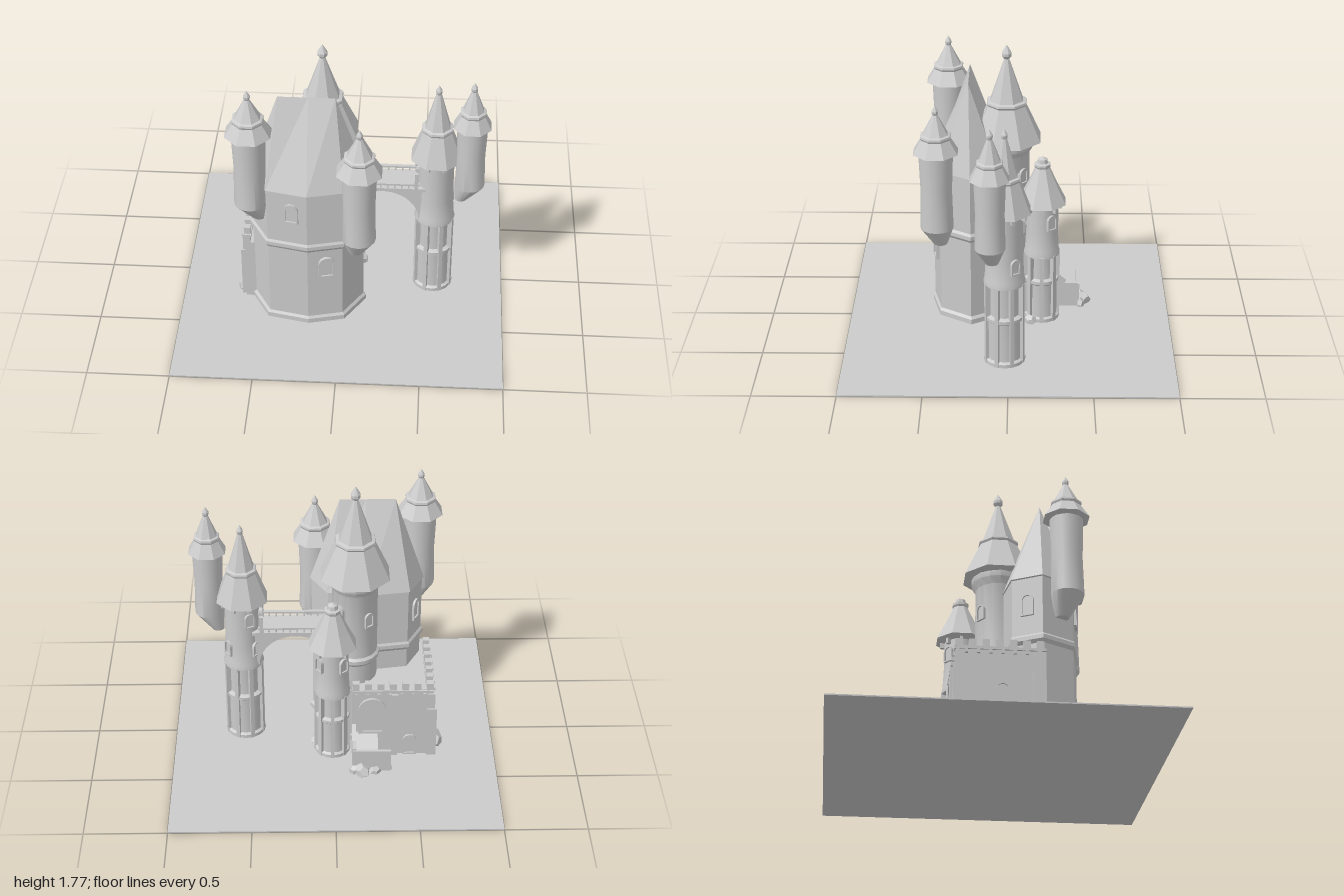
import * as THREE from 'three';
import { toCreasedNormals } from 'three/addons/utils/BufferGeometryUtils.js';

const stone = new THREE.MeshStandardMaterial({ color: 0xcccccc, side: THREE.DoubleSide });
const faceted = new THREE.MeshStandardMaterial({ color: 0xcccccc, flatShading: true, side: THREE.DoubleSide });

export function createModel() {
  const castle = new THREE.Group();
  castle.name = 'castle';

  function add(name, geometry, x = 0, y = 0, z = 0, turn = 0, material = faceted, parent = castle) {
    const mesh = new THREE.Mesh(geometry, material);
    mesh.name = name;
    mesh.position.set(x, y, z);
    mesh.rotation.y = turn;
    parent.add(mesh);
    return mesh;
  }
  const box = (name, w, h, d, x, y, z, turn = 0) => add(name, new THREE.BoxGeometry(w, h, d), x, y + h / 2, z, turn);
  const lathe = (profile, sides) => new THREE.LatheGeometry(profile.map(([r, y]) => new THREE.Vector2(r, y)), sides);
  const shaft = (name, profile, x, z) => add(name, toCreasedNormals(lathe(profile, 16), 0.6), x, 0, z, 0, stone);

  // Two-tier octagonal roof with a rim and a pointed finial
  function roof(x, z, eaveY, eaveR, ringY, ringR, tipY, topY) {
    const f = (topY - tipY) * 0.4;
    add('towerRoof', lathe([
      [0, eaveY - 0.012], [eaveR * 0.7, eaveY - 0.012], [eaveR, eaveY], [ringR * 1.06, ringY - 0.012],
      [ringR * 1.13, ringY], [ringR * 1.1, ringY + 0.012], [ringR * 0.92, ringY + 0.018], [0.016, tipY],
      [f * 0.85, tipY + f * 0.5], [f * 0.85, tipY + f], [0, topY]], 8), x, 0, z, Math.PI / 8);
  }

  // Arched opening: frame with a recessed pane, standing on (x, y, z)
  function archShape(w, h) {
    const s = new THREE.Shape();
    s.moveTo(-w / 2, 0);
    s.lineTo(w / 2, 0);
    s.lineTo(w / 2, h - w / 2);
    s.absarc(0, h - w / 2, w / 2, 0, Math.PI, false);
    s.closePath();
    return s;
  }
  function archedOpening(name, w, h, x, y, z, turn) {
    const group = new THREE.Group();
    group.name = name;
    group.position.set(x, y, z);
    group.rotation.y = turn;
    const t = w * 0.13;
    const frame = archShape(w, h);
    frame.holes.push(new THREE.Path(archShape(w - 2 * t, h - 2 * t).getPoints(6).map(p => p.add(new THREE.Vector2(0, t)))));
    add('frame', new THREE.ExtrudeGeometry(frame, { depth: 0.024, bevelEnabled: false, curveSegments: 6 }), 0, 0, -0.012, 0, faceted, group);
    add('pane', new THREE.ExtrudeGeometry(archShape(w - t, h - t), { depth: 0.012, bevelEnabled: false, curveSegments: 6 }), 0, t / 2, -0.01, 0, faceted, group);
    castle.add(group);
  }
  const towerWindow = (cx, cz, r, y, turn, w = 0.065, h = 0.1) =>
    archedOpening('towerWindow', w, h, cx + r * Math.sin(turn), y, cz + r * Math.cos(turn), turn);

  // Surface through matching closed outlines, lowest first
  function loft(rows) {
    const n = rows[0].length, index = [];
    for (let j = 0; j < rows.length - 1; j++) for (let i = 0; i < n; i++) {
      const a = j * n + i, b = j * n + (i + 1) % n;
      index.push(a, b, b + n, a, b + n, a + n);
    }
    const geometry = new THREE.BufferGeometry();
    geometry.setAttribute('position', new THREE.Float32BufferAttribute(rows.flat(2), 3));
    geometry.setIndex(index);
    const flat = geometry.toNonIndexed();
    flat.computeVertexNormals();
    return flat;
  }

  box('ground', 2, 0.008, 2, 0, 0, 0);

  // Keep: eight-sided body with plinth, string course and ridged roof
  const outline = [[-0.55, 0.24], [-0.44, 0.43], [-0.2, 0.48], [0.01, 0.43], [0.13, 0.24], [0.03, 0.07], [-0.2, 0.03], [-0.46, 0.07]];
  const ring = (y, s = 1) => outline.map(([x, z]) => [-0.21 + (x + 0.21) * s, y, 0.25 + (z - 0.25) * s]);
  add('keepWalls', loft([ring(0, 1.05), ring(0.04, 1.05), ring(0.055), ring(0.57), ring(0.59, 1.05),
    ring(0.615, 1.05), ring(0.63, 1.01), ring(1.0, 1.01)]));
  add('keepRoof', loft([ring(0.995, 1.0), ring(1.0, 1.04),
    outline.map(([x]) => [Math.min(-0.04, Math.max(-0.38, x)), 1.55, 0.25])]));
  archedOpening('keepWindow', 0.09, 0.14, -0.295, 0.785, 0.464, -0.2);
  archedOpening('keepWindow', 0.1, 0.15, -0.085, 0.37, 0.46, 0.23);
  archedOpening('keepWindow', 0.08, 0.14, -0.51, 0.75, 0.155, -2.05);

  // Hanging turrets, their feet leaning toward the wall that carries them
  function turret(x, z, r, footY, baseY, eaveY, roofR, ringY, tipY, topY, leanX, leanZ) {
    const mid = (baseY + eaveY) / 2;
    const geometry = lathe([[0, footY], [r * 0.42, footY], [r, baseY], [r * 0.94, mid], [r * 1.02, eaveY - 0.03], [r * 1.02, eaveY]], 16);
    const p = geometry.attributes.position;
    for (let i = 0; i < p.count; i++) if (p.getY(i) < footY + 0.01) {
      p.setX(i, p.getX(i) + leanX);
      p.setZ(i, p.getZ(i) + leanZ);
    }
    add('turretBody', toCreasedNormals(geometry, 0.5), x, 0, z, 0, stone);
    roof(x, z, eaveY, roofR, ringY, roofR * 0.6, tipY, topY);
  }
  turret(-0.54, 0.39, 0.1, 0.75, 0.88, 1.385, 0.145, 1.48, 1.62, 1.68, 0.045, -0.03);
  turret(0.11, 0.445, 0.102, 0.55, 0.67, 1.17, 0.145, 1.27, 1.41, 1.47, -0.02, -0.02);
  turret(0.765, 0.105, 0.09, 0.73, 0.85, 1.285, 0.12, 1.38, 1.53, 1.59, -0.05, -0.01);

  // Great tower behind the keep
  shaft('greatTower', [[0.15, 0], [0.15, 0.04], [0.14, 0.05], [0.14, 0.57], [0.155, 0.59], [0.155, 0.615],
    [0.14, 0.63], [0.14, 1.08], [0.165, 1.12], [0.165, 1.17]], -0.13, 0.02);
  roof(-0.13, 0.02, 1.165, 0.225, 1.4, 0.115, 1.68, 1.77);
  towerWindow(-0.13, 0.02, 0.138, 0.85, -2.5);
  towerWindow(-0.13, 0.02, 0.138, 0.9, 2.4);

  // Slim towers: stepped base, ribbed middle and plain upper shaft
  function slimTower(x, z, r, ledgeY, shelfY, topY, turn) {
    shaft('slimTower', [[r * 1.06, 0], [r * 1.06, 0.03], [r * 0.92, 0.04], [r * 0.92, ledgeY - 0.02], [r * 1.02, ledgeY - 0.01],
      [r * 1.02, ledgeY + 0.01], [r * 0.8, ledgeY + 0.02], [r * 0.8, shelfY - 0.02], [r * 1.05, shelfY - 0.01],
      [r * 1.05, shelfY + 0.01], [r, shelfY + 0.03], [r * 0.93, shelfY + 0.16], [r * 0.93, topY]], x, z);
    for (let i = 0; i < 8; i++) {
      const a = turn + i * Math.PI / 4, sx = Math.sin(a), cz = Math.cos(a);
      box('towerRib', 0.024, shelfY, 0.03, x + sx * r * 0.93, 0, z + cz * r * 0.93, a);
      box('eaveBracket', 0.018, 0.035, 0.035, x + sx * r, topY - 0.035, z + cz * r, a);
    }
  }
  slimTower(0.56, 0.025, 0.118, 0.31, 0.54, 0.99, Math.PI / 8);
  roof(0.56, 0.025, 0.995, 0.165, 1.2, 0.088, 1.45, 1.51);
  towerWindow(0.56, 0.025, 0.109, 0.62, -2.3);
  towerWindow(0.56, 0.025, 0.109, 0.84, -2.7);
  towerWindow(0.56, 0.025, 0.109, 0.62, 2.2);
  archedOpening('bridgeDoor', 0.09, 0.15, 0.45, 0.8, 0.02, -Math.PI / 2);

  slimTower(0.01, -0.2, 0.105, 0.28, 0.46, 0.79, 0);
  add('smallTowerRoof', lathe([[0, 0.785], [0.11, 0.785], [0.155, 0.8], [0.105, 0.9], [0.045, 1.03], [0.052, 1.04],
    [0.052, 1.055], [0.035, 1.06], [0.03, 1.085], [0, 1.1]], 8), 0.01, 0, -0.2, Math.PI / 8);
  towerWindow(0.01, -0.2, 0.098, 0.64, -2.4);
  towerWindow(0.01, -0.2, 0.098, 0.64, 2.2);

  // Bridge with an elliptical arch, railings and gate posts
  const span = new THREE.Shape();
  span.moveTo(-0.03, 0.55);
  span.lineTo(0.01, 0.55);
  span.absellipse(0.235, 0.55, 0.225, 0.21, Math.PI, 0, true);
  span.lineTo(0.5, 0.55);
  span.lineTo(0.5, 0.79);
  span.lineTo(-0.03, 0.79);
  add('bridgeArch', new THREE.ExtrudeGeometry(span, { depth: 0.15, bevelEnabled: false, curveSegments: 20 }), 0, 0, -0.055);
  box('bridgeDeck', 0.53, 0.022, 0.2, 0.235, 0.78, 0.02);
  for (const z of [-0.07, 0.11]) {
    box('bridgeRail', 0.47, 0.012, 0.022, 0.23, 0.826, z);
    for (let i = 0; i < 11; i++) box('bridgeBaluster', 0.009, 0.03, 0.01, 0.01 + i * 0.043, 0.8, z);
    box('bridgePost', 0.022, 0.12, 0.024, 0.443, 0.795, z);
  }

  // Walled yard with battlements, corner posts and buttresses
  box('yardFloor', 0.46, 0.44, 0.5, -0.365, 0, 0.0);
  box('yardBackWall', 0.5, 0.5, 0.035, -0.36, 0, -0.25);
  box('yardSideWall', 0.035, 0.5, 0.5, -0.59, 0, 0.0);
  box('backWallCoping', 0.5, 0.018, 0.05, -0.36, 0.48, -0.252);
  box('sideWallCoping', 0.05, 0.018, 0.5, -0.592, 0.48, 0);
  for (let i = 0; i < 7; i++) {
    box('merlon', 0.042, 0.05, 0.04, -0.59 + i * 0.076, 0.495, -0.25);
    box('merlon', 0.04, 0.05, 0.042, -0.59, 0.495, -0.25 + i * 0.078);
    box('wallBracket', 0.018, 0.025, 0.02, -0.555 + i * 0.07, 0.455, -0.275);
    box('wallBracket', 0.02, 0.025, 0.018, -0.615, 0.455, -0.21 + i * 0.07);
  }
  for (const [x, z] of [[-0.6, -0.255], [-0.6, 0.2], [-0.37, -0.265]]) {
    box('wallPost', 0.045, 0.47, 0.04, x, 0, z);
    if (x < -0.5) box('buttress', 0.06, 0.36, 0.06, x - 0.005, 0, z);
  }
  archedOpening('gate', 0.17, 0.27, -0.235, 0.17, -0.272, Math.PI);
  archedOpening('yardDoor', 0.085, 0.15, -0.47, 0.01, -0.27, Math.PI);
  archedOpening('yardDoor', 0.08, 0.14, -0.61, 0.14, 0.0, -Math.PI / 2);

  // Gate ramp with a parapet, landing and steps
  const side = (name, points, width, x) => {
    const shape = new THREE.Shape(points.map(([z, y]) => new THREE.Vector2(z, y)));
    add(name, new THREE.ExtrudeGeometry(shape, { depth: width, bevelEnabled: false }), x, 0, 0, -Math.PI / 2);
  };
  side('rampParapet', [[-0.25, 0], [-0.25, 0.26], [-0.28, 0.23], [-0.35, 0.17], [-0.43, 0.17], [-0.435, 0.08], [-0.44, 0]], 0.025, -0.11);
  side('ramp', [[-0.25, 0], [-0.25, 0.18], [-0.28, 0.18], [-0.36, 0.11], [-0.43, 0.11], [-0.43, 0]], 0.15, -0.12);
  box('landingParapet', 0.235, 0.16, 0.018, -0.23, 0, -0.433);
  for (let i = 0; i < 3; i++) box('step', 0.03, 0.1 - i * 0.03, 0.085, -0.28 - i * 0.03, 0, -0.39);

  // Boulders around the foot of the walls
  for (const [x, z, r, h] of [[-0.64, -0.16, 0.055, 0.1], [-0.645, -0.08, 0.04, 0.06], [-0.63, 0.17, 0.045, 0.08],
    [-0.17, -0.46, 0.06, 0.075], [-0.25, -0.45, 0.04, 0.05], [0.11, -0.13, 0.045, 0.06], [0.07, -0.09, 0.04, 0.05], [-0.12, -0.45, 0.035, 0.06]]) {
    add('boulder', new THREE.DodecahedronGeometry(1), x, h * 0.3, z, x * 20 + z * 9).scale.set(r, h * 0.7, r * 0.8);
  }
  // Lift nothing below the ground: flatten the boulders' undersides
  castle.traverse(o => {
    if (o.name !== 'boulder') return;
    const p = o.geometry.attributes.position;
    for (let i = 0; i < p.count; i++) p.setY(i, Math.max(p.getY(i), -0.42));
    o.geometry.computeVertexNormals();
  });
  return castle;
}
